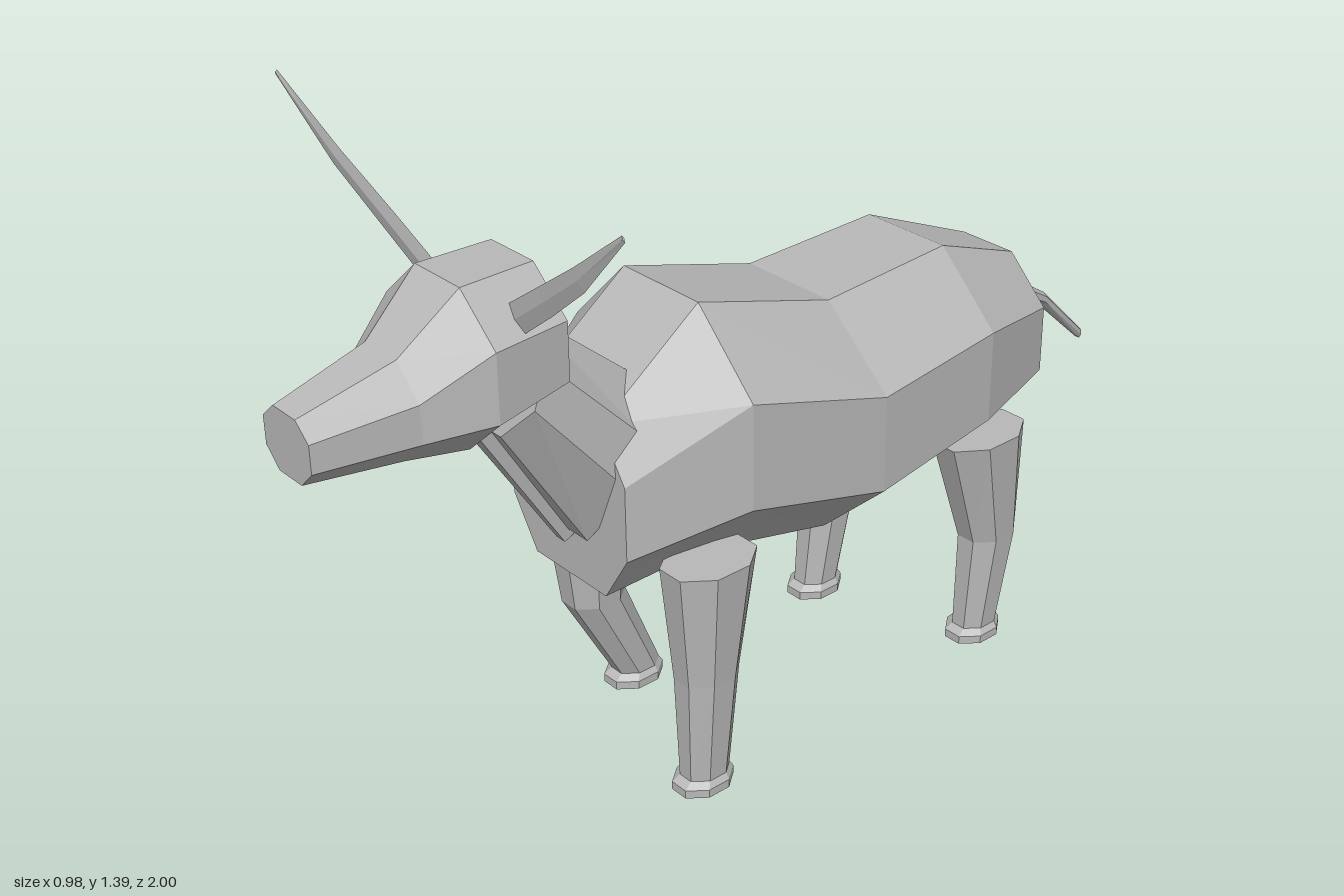
import * as THREE from 'three';

const hide = new THREE.MeshStandardMaterial({ color: 0xb8b8b8 });
hide.name = 'grey hide';
hide.flatShading = true;

// Skin a closed solid over rings; each ring runs counter-clockwise seen from the loft direction.
function loft(name, rings) {
  const pos = [];
  const tri = (a, b, c) => pos.push(...a, ...b, ...c);
  const n = rings[0].length;
  for (let r = 0; r + 1 < rings.length; r++) {
    const a = rings[r], b = rings[r + 1];
    for (let i = 0; i < n; i++) {
      const j = (i + 1) % n;
      tri(a[i], a[j], b[j]);
      tri(a[i], b[j], b[i]);
    }
  }
  const first = rings[0], last = rings[rings.length - 1];
  for (let i = 1; i + 1 < n; i++) {
    tri(first[0], first[i + 1], first[i]);
    tri(last[0], last[i], last[i + 1]);
  }
  const geo = new THREE.BufferGeometry();
  geo.setAttribute('position', new THREE.Float32BufferAttribute(pos, 3));
  geo.computeVertexNormals();
  const mesh = new THREE.Mesh(geo, hide);
  mesh.name = name;
  return mesh;
}

// Upright octagon: z of the top edge, four heights, half widths, and lean (z gained per unit of drop).
function octagon([z, top, high, low, bottom, wide, narrow, lean = 0]) {
  const p = (x, y) => [x, y, z + lean * (top - y)];
  return [
    p(wide, low), p(wide, high), p(narrow, top), p(-narrow, top),
    p(-wide, high), p(-wide, low), p(-narrow, bottom), p(narrow, bottom),
  ];
}

// Level octagon for the legs.
function legRing([y, x, z, rx, rz]) {
  const ring = [];
  for (let i = 0; i < 8; i++) {
    const a = (i + 0.5) * Math.PI / 4, k = 1 / Math.cos(Math.PI / 8);
    ring.push([x + Math.cos(a) * rx * k, y, z - Math.sin(a) * rz * k]);
  }
  return ring;
}

// Leg with a bent knee and a small flared hoof.
function leg(name, side, topZ, topR, kneeZ, footZ, sole) {
  return loft(name, [
    [sole, side * 0.175, footZ, 0.049, 0.062],
    [sole + 0.018, side * 0.175, footZ, 0.049, 0.062],
    [sole + 0.03, side * 0.175, footZ - 0.005, 0.04, 0.05],
    [0.26, side * 0.178, kneeZ, 0.053, 0.064],
    [0.515, side * 0.181, topZ, 0.072, topR],
  ].map(legRing));
}

// Thin blade-like horn sweeping up and out.
function horn(name, side) {
  const stations = [
    [0.10, 1.09, 0.617, 0.03, 0.006],
    [0.225, 1.178, 0.635, 0.027, 0.005],
    [0.345, 1.265, 0.655, 0.022, 0.004],
    [0.487, 1.388, 0.677, 0.006, 0.002],
  ];
  return loft(name, stations.map(([x, y, z, w, t]) => {
    const dx = w * 0.58, dy = w * 0.81;
    const ring = [
      [x + dx, y - dy, z], [x, y, z - t], [x - dx, y + dy, z], [x, y, z + t],
    ].map(([px, py, pz]) => [px * side, py, pz]);
    return side > 0 ? ring : ring.reverse();
  }));
}

export function createModel() {
  const model = new THREE.Group();
  model.name = 'hornedAnimal';

  // Barrel body, rump to chest
  model.add(loft('body', [
    [-0.68, 0.82, 0.725, 0.58, 0.48, 0.165, 0.068],
    [-0.43, 0.92, 0.78, 0.585, 0.455, 0.25, 0.104],
    [-0.11, 0.905, 0.76, 0.555, 0.405, 0.275, 0.112],
    [0.21, 1.0, 0.85, 0.63, 0.475, 0.255, 0.106],
    [0.44, 0.83, 0.73, 0.575, 0.472, 0.17, 0.105],
  ].map(octagon)));

  // Neck, leaning forward from the chest into the head
  model.add(loft('neck', [
    [0.34, 0.89, 0.80, 0.70, 0.58, 0.15, 0.07, 0.36],
    [0.54, 1.06, 1.0, 0.92, 0.85, 0.12, 0.05, 0.36],
  ].map(octagon)));

  // Narrow dewlap under the throat
  model.add(loft('dewlap', [
    [[0.012, 0.58, 0.40], [-0.012, 0.58, 0.40], [-0.012, 0.555, 0.46], [0.012, 0.555, 0.46]],
    [[0.022, 0.90, 0.59], [-0.022, 0.90, 0.59], [-0.022, 0.85, 0.645], [0.022, 0.85, 0.645]],
  ]));

  // Head, crown to muzzle
  model.add(loft('head', [
    [0.535, 1.165, 1.085, 0.97, 0.945, 0.15, 0.06],
    [0.69, 1.165, 1.08, 0.945, 0.86, 0.16, 0.065],
    [0.81, 1.065, 1.005, 0.93, 0.874, 0.107, 0.046],
    [1.0, 1.017, 0.985, 0.93, 0.895, 0.07, 0.034],
  ].map(octagon)));

  // Tail, tip to root
  model.add(loft('tail', [
    [-1.0, 0.515, 0.51, 0.5, 0.49, 0.011, 0.006],
    [-0.86, 0.65, 0.642, 0.628, 0.618, 0.02, 0.01],
    [-0.66, 0.775, 0.76, 0.735, 0.715, 0.03, 0.014],
  ].map(octagon)));

  for (const [side, label] of [[1, 'left'], [-1, 'right']]) {
    model.add(horn(label + 'Horn', side));
  }

  // Legs in mid-stride
  model.add(leg('leftFrontLeg', 1, 0.255, 0.095, 0.26, 0.27, 0.0));
  model.add(leg('rightFrontLeg', -1, 0.255, 0.095, 0.255, 0.16, 0.02));
  model.add(leg('leftRearLeg', 1, -0.48, 0.105, -0.525, -0.5, 0.012));
  model.add(leg('rightRearLeg', -1, -0.46, 0.1, -0.40, -0.36, 0.015));
  return model;
}
